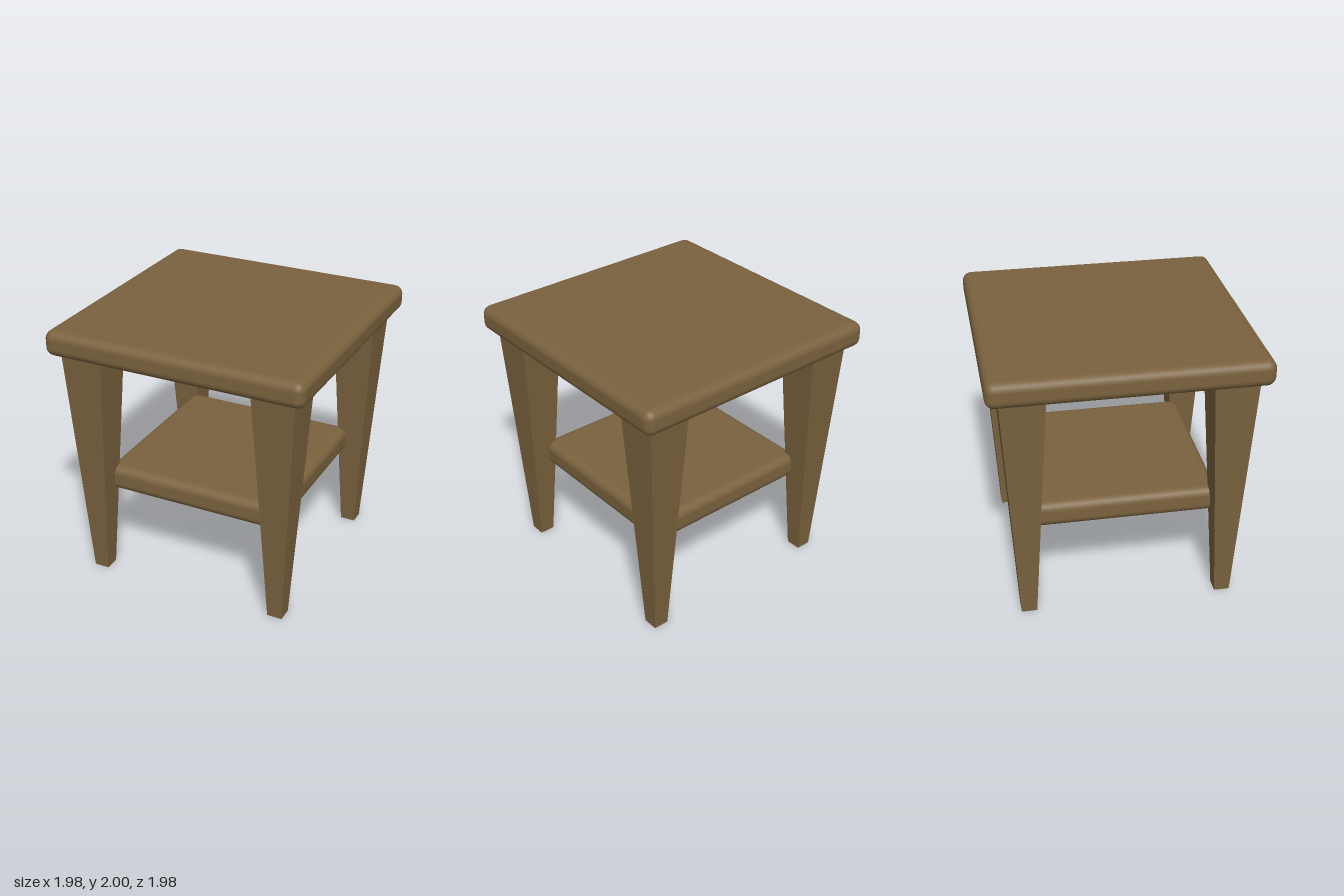
import * as THREE from 'three';
import { RoundedBoxGeometry } from 'three/addons/geometries/RoundedBoxGeometry.js';

const wood = new THREE.MeshStandardMaterial({ color: 0x7a623e });
const woodFlat = new THREE.MeshStandardMaterial({ color: 0x7a623e, flatShading: true });

// Square board with rounded edges, from y0 to y1
function board(name, width, y0, y1, radius) {
  const mesh = new THREE.Mesh(new RoundedBoxGeometry(width, y1 - y0, width, 5, radius), wood);
  mesh.name = name;
  mesh.position.y = (y0 + y1) / 2;
  return mesh;
}

export function createModel() {
  const table = new THREE.Group();
  table.name = 'sideTable';

  table.add(board('tableTop', 1.96, 1.81, 2, 0.065));
  table.add(board('lowerShelf', 1.39, 0.66, 0.855, 0.065));

  // Square legs tapering towards the floor
  const height = 1.82, topHalf = 0.16, footHalf = 0.057, spread = 0.732;
  const legGeometry = new THREE.CylinderGeometry(
    topHalf * Math.SQRT2, footHalf * Math.SQRT2, height, 4, 1, false, Math.PI / 4);
  for (const [z, end] of [[1, 'front'], [-1, 'back']]) {
    for (const [x, side] of [[1, 'Left'], [-1, 'Right']]) {
      const leg = new THREE.Mesh(legGeometry, woodFlat);
      leg.name = `${end}${side}Leg`;
      leg.position.set(x * spread, height / 2, z * spread);
      table.add(leg);
    }
  }

  // The whole table stands turned very slightly
  table.rotation.y = -0.01;
  const model = new THREE.Group();
  model.name = 'model';
  model.add(table);
  return model;
}
